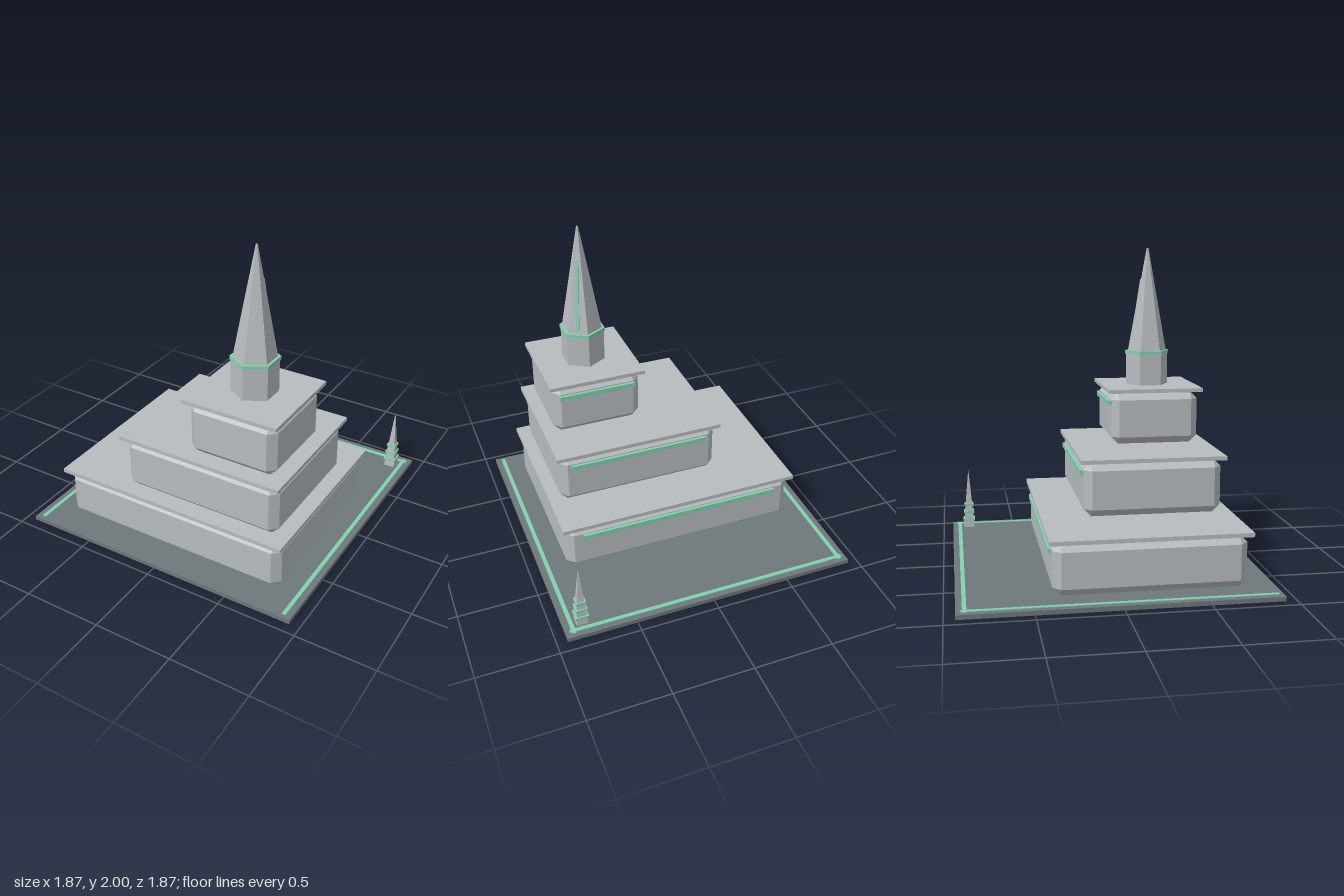
import * as THREE from 'three';
import { ConvexGeometry } from 'three/addons/geometries/ConvexGeometry.js';

const material = (name, color) => {
  const m = new THREE.MeshStandardMaterial({ color, flatShading: true });
  m.name = name;
  return m;
};

export function createModel() {
  const stone = material('pale stone', 0xb8bcbf);
  const paving = material('dark paving', 0x6e777b);
  const glow = material('mint trim', 0x84d0b0);
  const model = new THREE.Group();
  model.name = 'steppedTower';

  const add = (parent, name, geometry, mat, x, y, z) => {
    const mesh = new THREE.Mesh(geometry, mat);
    mesh.name = name;
    mesh.position.set(x, y, z);
    parent.add(mesh);
    return mesh;
  };

  // box given by its extents on each axis
  const block = (parent, name, mat, [x0, x1], [y0, y1], [z0, z1]) =>
    add(parent, name, new THREE.BoxGeometry(x1 - x0, y1 - y0, z1 - z0), mat,
      (x0 + x1) / 2, (y0 + y1) / 2, (z0 + z1) / 2);

  // box with every edge cut at 45 degrees
  const chamferedBox = (w, h, d, c) => {
    const points = [];
    for (const sx of [-1, 1]) for (const sy of [-1, 1]) for (const sz of [-1, 1]) {
      for (let axis = 0; axis < 3; axis++) {
        const cut = [c, c, c];
        cut[axis] = 0;
        points.push(new THREE.Vector3(sx * (w / 2 - cut[0]), sy * (h / 2 - cut[1]), sz * (d / 2 - cut[2])));
      }
    }
    return new ConvexGeometry(points);
  };

  // four-sided taper with sides along x and z; half widths at top and bottom
  const taper = (top, bottom, h) => new THREE.CylinderGeometry(
    top * Math.SQRT2, bottom * Math.SQRT2, h, 4).rotateY(Math.PI / 4);

  // plaza with trim along the left, right and back edges
  const plaza = new THREE.Group();
  plaza.name = 'plaza';
  model.add(plaza);
  block(plaza, 'plazaSlab', paving, [-0.935, 0.935], [0, 0.027], [-0.935, 0.935]);
  for (const s of [-1, 1]) {
    block(plaza, 'sideTrim', glow, [s * 0.885 - 0.0125, s * 0.885 + 0.0125], [0.025, 0.032], [-0.908, 0.908]);
  }
  block(plaza, 'backTrim', glow, [-0.908, 0.908], [0.025, 0.032], [-0.898, -0.873]);

  // three terraces: chamfered body, overhanging roof slab, light strip at the back
  const tiers = [
    { x: [-0.764, 0.766], y: [0.027, 0.341], z: [-0.384, 0.765], strip: 0.273 },
    { x: [-0.333, 0.717], y: [0.366, 0.705], z: [-0.143, 0.718], strip: 0.635 },
    { x: [0.097, 0.671], y: [0.73, 1.07], z: [0.098, 0.672], strip: 1.0 },
  ];
  for (const { x, y, z, strip } of tiers) {
    const tier = new THREE.Group();
    tier.name = 'terrace';
    model.add(tier);
    const w = x[1] - x[0], h = y[1] - y[0], d = z[1] - z[0];
    const cx = (x[0] + x[1]) / 2;
    add(tier, 'terraceBody', chamferedBox(w, h, d, 0.048), stone, cx, y[0] + h / 2, z[0] + d / 2);
    block(tier, 'roofSlab', stone, [x[0] - 0.023, x[1] + 0.023], [y[1], y[1] + 0.025], [z[0] - 0.023, z[1] + 0.023]);
    block(tier, 'lightStrip', glow, [cx - w * 0.43, cx + w * 0.43], [strip - 0.015, strip + 0.015], [z[0] - 0.018, z[0] + 0.005]);
  }

  // hexagonal tower with ring and spire
  const tower = new THREE.Group();
  tower.name = 'tower';
  tower.position.set(0.384, 0, 0.384);
  model.add(tower);
  const hex = (name, mat, top, bottom, y0, y1) =>
    add(tower, name, new THREE.CylinderGeometry(top, bottom, y1 - y0, 6), mat, 0, (y0 + y1) / 2, 0);
  hex('drum', stone, 0.141, 0.141, 1.095, 1.31);
  hex('ring', glow, 0.148, 0.148, 1.298, 1.322);
  hex('spire', stone, 0.006, 0.131, 1.315, 2);

  // light strip lying on one rear face of the spire
  const face = new THREE.Group();
  face.name = 'spireFace';
  face.rotation.y = Math.PI * 5 / 6;
  tower.add(face);
  const slope = (0.131 - 0.006) * Math.cos(Math.PI / 6) / 0.685;
  const midY = 1.57;
  const spireStrip = add(face, 'spireStrip', new THREE.BoxGeometry(0.02, 0.45, 0.02), glow,
    0, midY, 0.0052 + (2 - midY) * slope);
  spireStrip.rotation.x = -Math.atan(slope);

  // small banded obelisk in the rear corner
  const obelisk = new THREE.Group();
  obelisk.name = 'obelisk';
  obelisk.position.set(0.82, 0, -0.82);
  model.add(obelisk);
  add(obelisk, 'obeliskBase', taper(0.024, 0.036, 0.163), stone, 0, 0.1085, 0);
  add(obelisk, 'obeliskTip', taper(0.001, 0.023, 0.245), stone, 0, 0.3115, 0);
  [[0.081, 0.041], [0.135, 0.036], [0.188, 0.031]].forEach(([y, half]) =>
    add(obelisk, 'obeliskBand', new THREE.BoxGeometry(half * 2, 0.016, half * 2), glow, 0, y, 0));

  return model;
}
